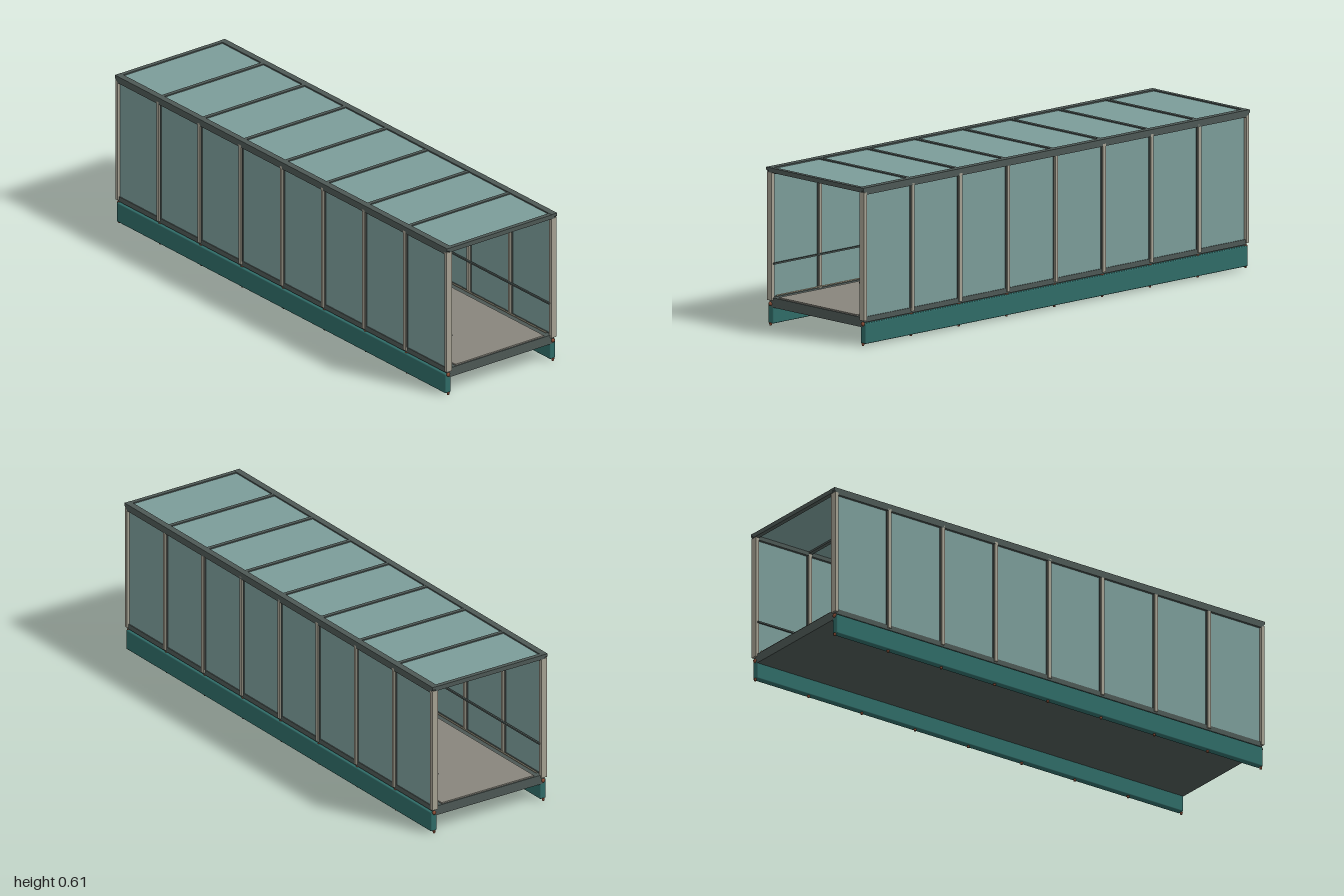
import * as THREE from 'three';
import { RoundedBoxGeometry } from 'three/addons/geometries/RoundedBoxGeometry.js';

const mat = (name, color) => {
  const m = new THREE.MeshStandardMaterial({ color });
  m.name = name;
  return m;
};

export function createModel() {
  const girderTeal = mat('girder teal', 0x2f6b67);
  const frameGrey = mat('frame dark grey', 0x4d5855);
  const postBeige = mat('post beige', 0xa5a192);
  const glassTeal = mat('glass pale teal', 0x7b9c99);
  const floorGrey = mat('floor warm grey', 0x88857c);
  const boltCopper = mat('bolt copper', 0x8c4f38);
  const lampCream = mat('lamp cream', 0xd8d0b4);

  const model = new THREE.Group();
  model.name = 'coveredWalkway';

  const add = (name, geometry, material, x, y, z) => {
    const mesh = new THREE.Mesh(geometry, material);
    mesh.name = name;
    mesh.position.set(x, y, z);
    model.add(mesh);
    return mesh;
  };
  // Box given by its centre x, z and its bottom and top heights
  const box = (name, material, w, y0, y1, d, x = 0, z = 0) =>
    add(name, new THREE.BoxGeometry(w, y1 - y0, d), material, x, (y0 + y1) / 2, z);

  const bays = 8;
  const end = 0.99;
  const pitch = (2 * end) / bays;
  const sideZ = 0.249;

  // Deck and walking surface
  box('deck', frameGrey, 1.98, 0.07, 0.107, 0.496);
  box('floor', floorGrey, 1.97, 0.107, 0.112, 0.42);

  // Roof edge beam with mitred ends
  const edge = new THREE.Shape([
    new THREE.Vector2(-0.982, 0.578), new THREE.Vector2(0.982, 0.578),
    new THREE.Vector2(1, 0.594), new THREE.Vector2(1, 0.605),
    new THREE.Vector2(-1, 0.605), new THREE.Vector2(-1, 0.594),
  ]);
  const edgeGeometry = new THREE.ExtrudeGeometry(edge, { depth: 0.026, bevelEnabled: false });
  edgeGeometry.translate(0, 0, -0.013);

  const girderGeometry = new RoundedBoxGeometry(1.98, 0.078, 0.027, 2, 0.004);
  const boltGeometry = new THREE.SphereGeometry(0.008, 10, 8);
  const footGeometry = new THREE.CylinderGeometry(0.006, 0.004, 0.01, 10);

  for (const s of [1, -1]) {
    // Long members on each side
    add('sideGirder', girderGeometry, girderTeal, 0, 0.047, s * sideZ);
    add('roofEdgeBeam', edgeGeometry, frameGrey, 0, 0, s * sideZ);
    box('bottomRail', frameGrey, 1.98, 0.09, 0.11, 0.013, 0, s * sideZ);
    box('handrail', frameGrey, 1.98, 0.235, 0.241, 0.007, 0, s * 0.232);
    box('floorLampStrip', lampCream, 1.96, 0.115, 0.119, 0.004, 0, s * 0.226);

    // Posts with gaskets, bolts and feet
    for (let i = 0; i <= bays; i++) {
      const x = -end + i * pitch;
      box('post', postBeige, 0.014, 0.097, 0.587, 0.026, x, s * sideZ);
      if (i > 0 && i < bays) box('postGasket', frameGrey, 0.021, 0.11, 0.58, 0.014, x, s * sideZ);
      add('bolt', boltGeometry, boltCopper, x, 0.083, s * sideZ);
      add('foot', footGeometry, boltCopper, x, 0.005, s * sideZ);
    }

    // Side glazing
    for (let i = 0; i < bays; i++) {
      const x = -end + (i + 0.5) * pitch;
      box('sideGlass', glassTeal, pitch - 0.018, 0.108, 0.582, 0.006, x, s * sideZ);
    }
  }

  // Roof cross beams
  for (let i = 0; i <= bays; i++) {
    const atEnd = i === 0 || i === bays;
    const x = atEnd ? Math.sign(i - 1) * 0.991 : -end + i * pitch;
    box('roofCrossBeam', frameGrey, atEnd ? 0.018 : 0.016, 0.587, 0.6045, 0.5, x, 0);
  }

  // Roof glazing
  for (let i = 0; i < bays; i++) {
    const x = -end + (i + 0.5) * pitch;
    box('roofGlass', glassTeal, pitch - 0.014, 0.594, 0.6, 0.476, x, 0);
  }

  return model;
}
